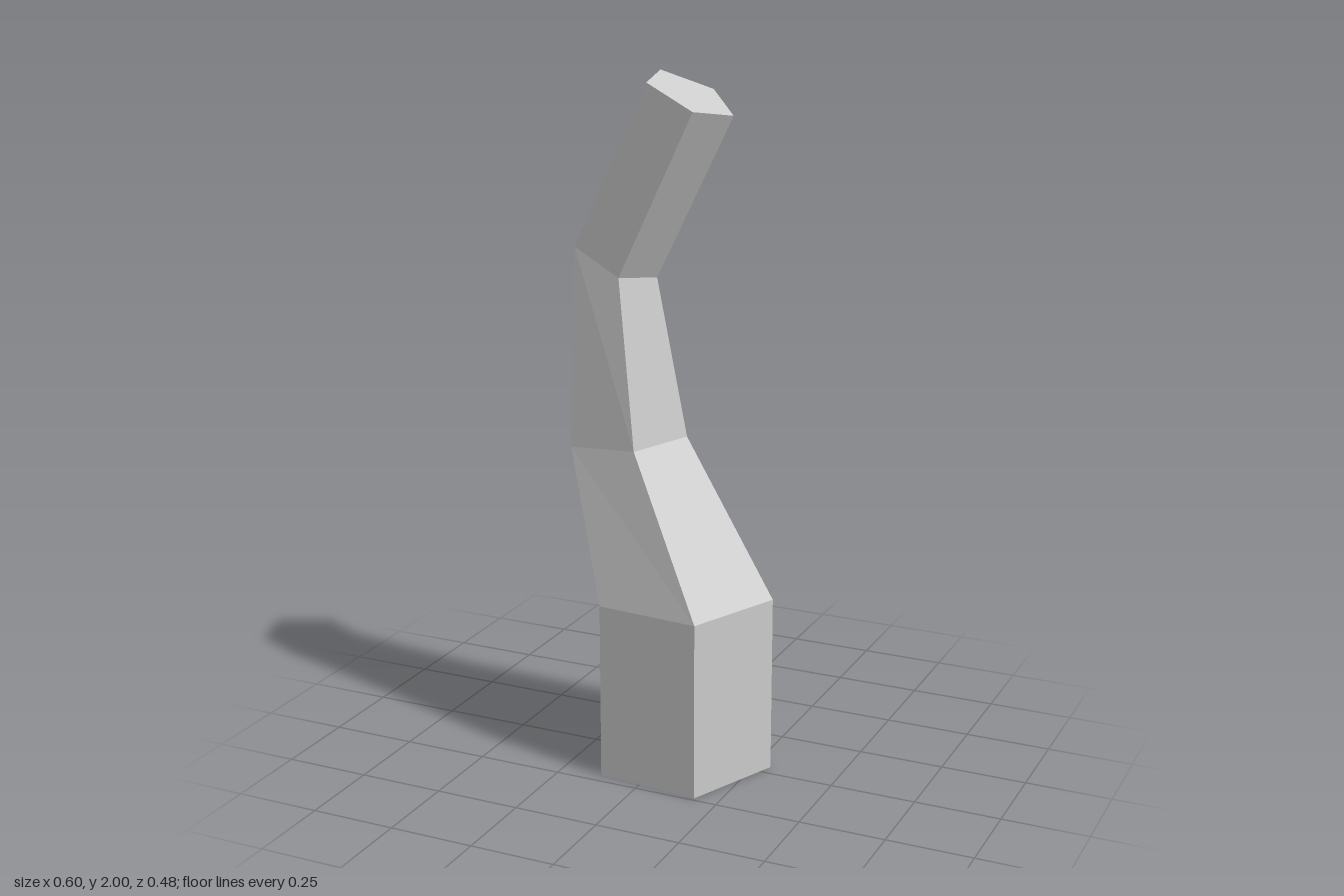
import * as THREE from 'three';

// Five-sided cross-sections from the ground up, corners [x, y, z] in the same order
const base = [[0.297, -0.04], [0.178, 0.24], [-0.127, 0.213], [-0.196, -0.084], [0.067, -0.241]];
const rings = [
  base.map(([x, z]) => [x, 0, z]),
  base.map(([x, z]) => [x, 0.52, z]),
  [[0.03, 0.972, -0.036], [-0.047, 0.968, 0.152], [-0.252, 0.953, 0.133], [-0.298, 0.95, -0.068], [-0.121, 0.962, -0.175]],
  [[-0.055, 1.427, -0.02], [-0.11, 1.446, 0.112], [-0.25, 1.52, 0.1], [-0.28, 1.535, -0.055], [-0.158, 1.48, -0.134]],
  [[0.176, 1.89, -0.012], [0.12, 1.914, 0.132], [-0.02, 1.983, 0.12], [-0.05, 2, -0.033], [0.072, 1.945, -0.114]],
];

// Skin the rings with quads and close both ends
function loft(sections) {
  const n = sections[0].length;
  const index = [];
  for (let r = 0; r < sections.length - 1; r++) {
    for (let i = 0; i < n; i++) {
      const a = r * n + i, b = r * n + (i + 1) % n;
      index.push(a, a + n, b + n, a, b + n, b);
    }
  }
  const top = (sections.length - 1) * n;
  for (let i = 1; i < n - 1; i++) {
    index.push(0, i, i + 1);
    index.push(top, top + i + 1, top + i);
  }
  const geometry = new THREE.BufferGeometry();
  geometry.setAttribute('position', new THREE.Float32BufferAttribute(sections.flat(2), 3));
  geometry.setIndex(index);
  const flat = geometry.toNonIndexed();
  flat.computeVertexNormals();
  return flat;
}

export function createModel() {
  const group = new THREE.Group();
  group.name = 'bentTrunk';
  const material = new THREE.MeshStandardMaterial({ color: 0xcccccc, flatShading: true });

  // Upright foot, leaning middle and slanted tip in one closed skin
  const trunk = new THREE.Mesh(loft(rings), material);
  trunk.name = 'trunk';
  group.add(trunk);
  return group;
}
